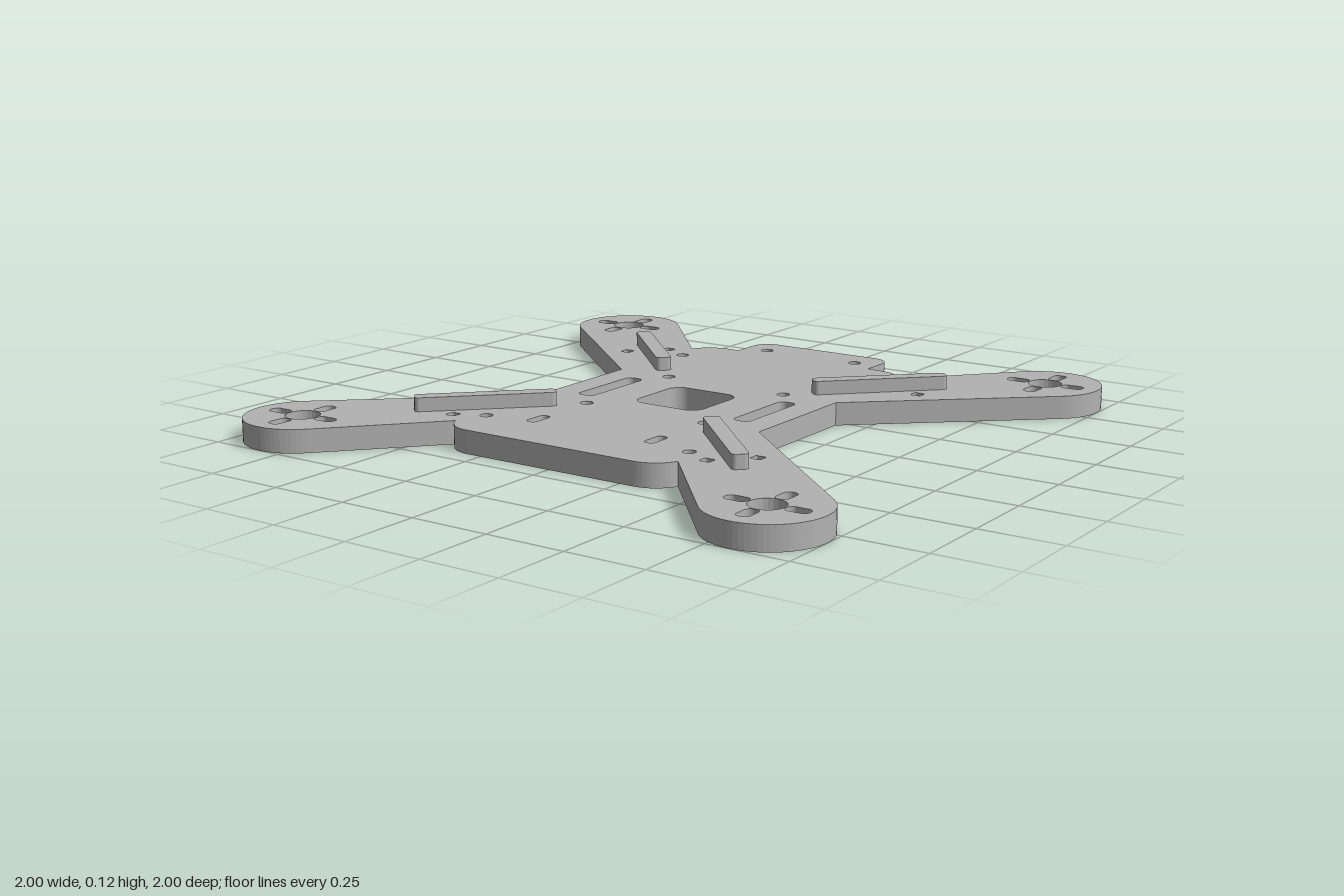
import * as THREE from 'three';

const PLATE = 0.072; // plate thickness
const RIDGE = 0.115; // top of the arm ridges
const MOTOR = 0.822, MOTOR_R = 0.178;

// Rounded rectangle path centred on (cx, cz)
function roundRect(path, cx, cz, w, h, r) {
  const a = w / 2 - r, b = h / 2 - r;
  path.absarc(cx + a, cz + b, r, 0, Math.PI / 2, false);
  path.absarc(cx - a, cz + b, r, Math.PI / 2, Math.PI, false);
  path.absarc(cx - a, cz - b, r, Math.PI, Math.PI * 1.5, false);
  path.absarc(cx + a, cz - b, r, Math.PI * 1.5, Math.PI * 2, false);
  path.closePath();
  return path;
}

function circle(cx, cz, r) {
  return new THREE.Path().absarc(cx, cz, r, 0, Math.PI * 2, false);
}

// Angle on the motor pad where a line from (px, pz) touches it
function tangentAngle(px, pz, side) {
  const dx = px - MOTOR, dz = pz - MOTOR;
  return Math.atan2(dz, dx) + side * Math.acos(MOTOR_R / Math.hypot(dx, dz));
}

function arc(cx, cz, r, from, to, n) {
  return Array.from({ length: n + 1 }, (_, i) => {
    const t = from + (to - from) * i / n;
    return [cx + r * Math.cos(t), cz + r * Math.sin(t)];
  });
}

// One quarter of the outline, from the waist around the arm to the end edge
function quarter(hasTab) {
  const start = tangentAngle(0.408, 0.218, 1);
  const end = tangentAngle(0.40, 0.615, -1) + Math.PI * 2;
  const span = (end - start) % (Math.PI * 2);
  const points = [
    [0.408, 0.218],
    ...arc(MOTOR, MOTOR, MOTOR_R, start, start + span, 36),
    ...arc(0.30, 0.575, 0.108, 0.38, Math.PI / 2, 10),
  ];
  if (hasTab) points.push([0.254, 0.683], ...arc(0.194, 0.778, 0.06, 0, Math.PI / 2, 8));
  return points;
}

// Extrude a plan shape (x, z) between two heights
function slab(shape, bottom, top) {
  const geometry = new THREE.ExtrudeGeometry(shape, {
    depth: top - bottom, bevelEnabled: false, curveSegments: 12,
  });
  return geometry.rotateX(Math.PI / 2).translate(0, top, 0);
}

export function createModel() {
  const group = new THREE.Group();
  const grey = new THREE.MeshStandardMaterial({ color: 0xb2b2b2 });
  grey.name = 'grey';

  // Plate outline: front and back quarters mirrored across x
  const front = quarter(false), back = quarter(true).map(([x, z]) => [x, -z]);
  const flip = (points) => points.map(([x, z]) => [-x, z]);
  const outline = [
    ...front, ...flip(front).reverse(), ...flip(back), ...[...back].reverse(),
  ];
  const plate = new THREE.Shape(outline.map(([x, z]) => new THREE.Vector2(x, z)));
  const slot = (...args) => plate.holes.push(roundRect(new THREE.Path(), ...args));
  const hole = (...args) => plate.holes.push(circle(...args));

  // Centre opening
  slot(0, 0, 0.24, 0.24, 0.045);

  for (const sx of [-1, 1]) {
    // Strap slots, front slots and tab holes
    slot(sx * 0.289, 0, 0.058, 0.276, 0.02);
    slot(sx * 0.214, 0.458, 0.036, 0.084, 0.016);
    hole(sx * 0.172, -0.737, 0.02);

    for (const sz of [-1, 1]) {
      // Motor mount: bore and four slots
      const mx = sx * MOTOR, mz = sz * MOTOR;
      hole(mx, mz, 0.053);
      for (const s of [-1, 1]) {
        slot(mx + s * 0.093, mz, 0.072, 0.042, 0.018);
        slot(mx, mz + s * 0.093, 0.042, 0.072, 0.018);
      }
      // Screw holes and cable tie holes
      hole(sx * 0.218, sz * 0.218, 0.02);
      hole(sx * 0.368, sz * 0.513, 0.02);
      slot(sx * 0.459, sz * 0.559, 0.034, 0.034, 0.006);
      slot(sx * 0.56, sz * 0.458, 0.034, 0.034, 0.006);

      // Raised ridge along the arm
      const bar = roundRect(new THREE.Shape(), 0, 0, 0.43, 0.05, 0.015);
      const ridge = new THREE.Mesh(slab(bar, PLATE, RIDGE), grey);
      ridge.name = 'armRidge';
      ridge.rotation.y = -sx * sz * Math.PI / 4;
      ridge.position.set(sx * 0.436, 0, sz * 0.436);
      group.add(ridge);
    }
  }

  const mesh = new THREE.Mesh(slab(plate, 0, PLATE), grey);
  mesh.name = 'framePlate';
  group.add(mesh);
  return group;
}
